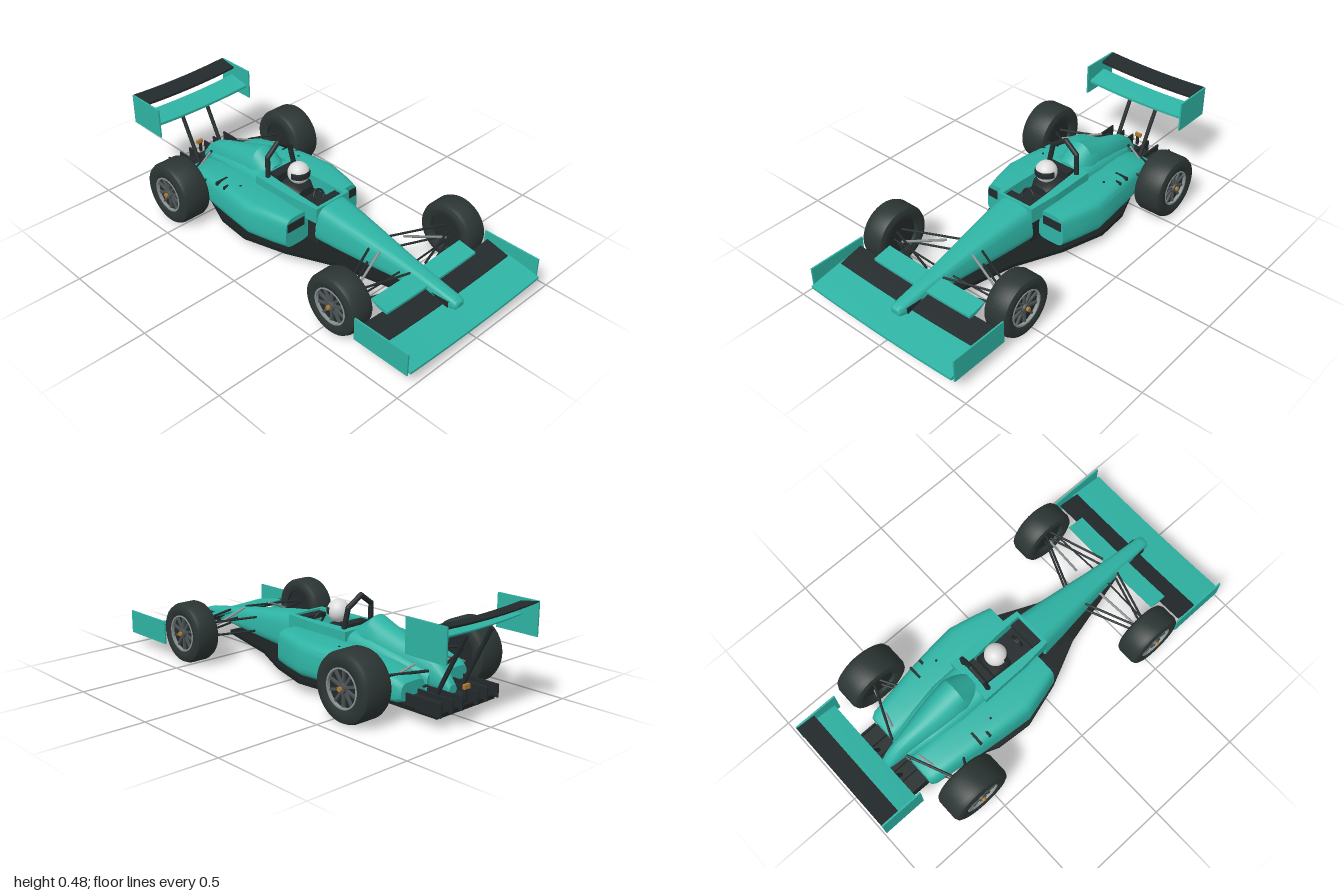
import * as THREE from 'three';
import { toCreasedNormals } from 'three/addons/utils/BufferGeometryUtils.js';

const mat = (name, color) => Object.assign(new THREE.MeshStandardMaterial({ color }), { name });

export function createModel() {
  const car = new THREE.Group();
  car.name = 'openWheelRaceCar';
  const teal = mat('tealPaint', 0x2eb3a4);
  const carbon = mat('carbonBlack', 0x232a2b);
  const rubber = mat('tyreRubber', 0x2b3533);
  const under = mat('floorBlack', 0x1a2021);
  const grey = mat('rimGrey', 0x4c5254);
  const silver = mat('metalSilver', 0x8c9294);
  const white = mat('helmetWhite', 0xdcdcdc);
  const gold = mat('hubGold', 0xb07c34);

  const add = (name, geo, m, parent = car) => {
    const mesh = new THREE.Mesh(geo, m);
    mesh.name = name;
    parent.add(mesh);
    return mesh;
  };
  const box = (name, w, h, d, x, y, z, m, parent) => {
    const b = add(name, new THREE.BoxGeometry(w, h, d), m, parent);
    b.position.set(x, y, z);
    return b;
  };
  const rod = (name, a, b, r, m, sides = 8) => {
    const p = new THREE.Vector3(...a), q = new THREE.Vector3(...b);
    const mesh = add(name, new THREE.CylinderGeometry(r, r, p.distanceTo(q), sides), m);
    mesh.position.copy(p).add(q).multiplyScalar(0.5);
    mesh.quaternion.setFromUnitVectors(new THREE.Vector3(0, 1, 0), q.sub(p).normalize());
    return mesh;
  };

  // Loft of rounded sections [z, xMin, xMax, yMin, yMax] running front to back
  const loft = (sections, power, taper = 0, n = 40) => {
    const pos = [], idx = [];
    const curve = (v) => Math.sign(v) * Math.abs(v) ** (2 / power);
    for (const [z, x0, x1, y0, y1] of sections) {
      for (let j = 0; j < n; j++) {
        const t = (j / n) * Math.PI * 2, v = curve(Math.sin(t));
        const k = 1 - taper * (v + 1) / 2;
        pos.push((x0 + x1) / 2 + (x1 - x0) / 2 * curve(Math.cos(t)) * k, (y0 + y1) / 2 + (y1 - y0) / 2 * v, z);
      }
    }
    const last = sections.length - 1;
    for (let i = 0; i < last; i++) {
      for (let j = 0; j < n; j++) {
        const a = i * n + j, b = i * n + (j + 1) % n;
        idx.push(a, a + n, b, b, a + n, b + n);
      }
    }
    for (const i of [0, last]) {
      const [z, x0, x1, y0, y1] = sections[i], c = pos.length / 3;
      pos.push((x0 + x1) / 2, (y0 + y1) / 2, z);
      for (let j = 0; j < n; j++) {
        const a = i * n + j, b = i * n + (j + 1) % n;
        idx.push(c, ...(i ? [b, a] : [a, b]));
      }
    }
    const g = new THREE.BufferGeometry();
    g.setAttribute('position', new THREE.Float32BufferAttribute(pos, 3));
    g.setIndex(idx);
    return toCreasedNormals(g, 0.6);
  };
  const centred = (rows) => rows.map(([z, w, y0, y1]) => [z, -w, w, y0, y1]);

  // Flat plan (x, z) extruded upward from y
  const plan = (points, hole, y, h) => {
    const outline = (pts) => [...pts.map(([x, z]) => new THREE.Vector2(x, -z)),
      ...pts.slice().reverse().map(([x, z]) => new THREE.Vector2(-x, -z))];
    const s = new THREE.Shape(outline(points));
    if (hole) s.holes.push(new THREE.Path(outline(hole)));
    return new THREE.ExtrudeGeometry(s, { depth: h, bevelEnabled: false }).rotateX(-Math.PI / 2).translate(0, y, 0);
  };

  // Cambered wing blade whose tips rise by bow
  const wing = (name, half, zF, yF, zB, yB, thick, bow, m) => {
    const s = new THREE.Shape(), zm = zF * 0.55 + zB * 0.45, ym = (yF + yB) / 2;
    s.moveTo(-zF, yF);
    s.quadraticCurveTo(-zm, ym - thick * 1.6, -zB, yB - 0.002);
    s.lineTo(-zB, yB + 0.002);
    s.quadraticCurveTo(-zm, ym + thick * 0.4, -zF, yF + 0.012);
    const g = new THREE.ExtrudeGeometry(s, { depth: half * 2, steps: 16, bevelEnabled: false, curveSegments: 8 });
    g.translate(0, 0, -half).rotateY(Math.PI / 2);
    const p = g.attributes.position;
    for (let i = 0; i < p.count; i++) p.setY(i, p.getY(i) + bow * (p.getX(i) / half) ** 2);
    add(name, toCreasedNormals(g, 0.6), m);
  };

  // Floor and diffuser
  add('floor', plan([[0.035, 0.68], [0.13, 0.29], [0.235, 0.06], [0.3, -0.16], [0.285, -0.34], [0.19, -0.58],
    [0.185, -0.87]], null, 0.045, 0.018), under);
  box('diffuserTop', 0.36, 0.03, 0.16, 0, 0.078, -0.76, carbon);
  for (const x of [-0.183, -0.11, -0.05, 0.05, 0.11, 0.183]) box('diffuserFin', 0.008, 0.06, 0.19, x, 0.085, -0.795, carbon);

  // Nose cone
  add('nose', loft(centred([[0.9, 0.022, 0.112, 0.135], [0.893, 0.032, 0.104, 0.143], [0.87, 0.037, 0.1, 0.15],
    [0.7, 0.046, 0.1, 0.178], [0.55, 0.063, 0.092, 0.203], [0.4, 0.083, 0.085, 0.228], [0.25, 0.103, 0.08, 0.251],
    [0.125, 0.117, 0.078, 0.267]]), 3.6, 0.2), teal);

  // Cockpit tub with open top
  add('cockpitTub', plan([[0.105, 0.13], [0.12, -0.03], [0.122, -0.27]], [[0.082, 0.115], [0.078, -0.02], [0.066, -0.23]],
    0.19, 0.08), teal);
  add('lowerTub', plan([[0.09, 0.13], [0.1, -0.27]], null, 0.06, 0.13), carbon);
  box('cockpitLining', 0.17, 0.012, 0.36, 0, 0.196, -0.05, carbon);
  box('dashboard', 0.15, 0.02, 0.05, 0, 0.25, 0.09, carbon);
  box('headrest', 0.13, 0.08, 0.05, 0, 0.245, -0.205, carbon);
  const steering = add('steeringWheel', new THREE.TorusGeometry(0.03, 0.006, 8, 20), carbon);
  steering.position.set(0, 0.25, 0.035);
  steering.rotation.x = -0.4;

  // Driver
  add('driverShoulders', loft(centred([[-0.05, 0.05, 0.19, 0.245], [-0.09, 0.07, 0.19, 0.265], [-0.16, 0.07, 0.19, 0.265]]), 3), carbon);
  add('helmet', new THREE.SphereGeometry(0.054, 32, 20), white).position.set(0, 0.315, -0.1);
  add('visor', new THREE.SphereGeometry(0.0555, 28, 6, 0.1, Math.PI - 0.2, 1.2, 0.6), carbon).position.set(0, 0.315, -0.1);

  // Engine cover and its shoulders
  add('engineShoulders', loft(centred([[-0.25, 0.122, 0.06, 0.27], [-0.4, 0.12, 0.06, 0.26], [-0.55, 0.1, 0.06, 0.22],
    [-0.7, 0.06, 0.06, 0.17]]), 4, 0.1), teal);
  add('engineCover', loft(centred([[-0.255, 0.075, 0.1, 0.28], [-0.3, 0.09, 0.1, 0.308], [-0.355, 0.097, 0.1, 0.347],
    [-0.42, 0.094, 0.1, 0.32], [-0.52, 0.08, 0.1, 0.285], [-0.62, 0.06, 0.09, 0.255], [-0.7, 0.045, 0.085, 0.225],
    [-0.76, 0.036, 0.085, 0.18], [-0.795, 0.026, 0.09, 0.13]]), 2.3, 0.15), teal);

  // Roll hoop
  const hoop = [[-0.086, 0.25, -0.222], [-0.072, 0.365, -0.238], [0, 0.415, -0.245], [0.072, 0.365, -0.238], [0.086, 0.25, -0.222]];
  hoop.slice(1).forEach((p, i) => {
    rod('rollHoop', hoop[i], p, 0.0125, carbon, 12);
    add('rollHoopJoint', new THREE.SphereGeometry(0.0125, 12, 8), carbon).position.set(...p);
  });

  // Front wing
  wing('frontWingMain', 0.425, 1.0, 0.068, 0.81, 0.11, 0.02, 0.012, teal);
  wing('frontWingFlap', 0.415, 0.835, 0.1, 0.715, 0.138, 0.016, 0.01, carbon);
  wing('frontWingUpperFlap', 0.29, 0.745, 0.142, 0.65, 0.168, 0.014, 0.006, teal);
  // Rear wing
  wing('rearWingMain', 0.285, -0.805, 0.37, -0.92, 0.402, 0.018, 0.01, teal);
  wing('rearWingFlap', 0.285, -0.905, 0.442, -0.998, 0.468, 0.016, 0.01, carbon);

  // Wheel: turned tyre and rim, spokes and hub nut, outer face toward +x
  const turned = (pts) => toCreasedNormals(
    new THREE.LatheGeometry(pts.map(([r, x]) => new THREE.Vector2(r, x)), 48).rotateZ(-Math.PI / 2), 0.5);
  const wheel = (name, x, y, z, R, half, side) => {
    const g = new THREE.Group();
    g.name = name;
    const r = 0.088, e = half;
    add('tyre', turned([[r, -e + 0.008], [r + 0.02, -e], [R - 0.025, -e], [R - 0.008, -e + 0.008], [R, -e + 0.026],
      [R, e - 0.026], [R - 0.008, e - 0.008], [R - 0.025, e], [r + 0.02, e], [r, e - 0.008], [r, -e + 0.008]]), rubber, g);
    add('rimLip', turned([[r - 0.006, e - 0.02], [r + 0.001, e - 0.02], [r + 0.001, e - 0.005], [r - 0.006, e - 0.005],
      [r - 0.006, e - 0.02]]), silver, g);
    const disc = add('rimDisc', new THREE.CylinderGeometry(r, r, 2 * e - 0.05, 40), carbon, g);
    disc.rotation.z = Math.PI / 2;
    for (let i = 0; i < 10; i++) {
      const a = (i / 10) * Math.PI * 2;
      const s = box('spoke', 0.012, r - 0.018, 0.011, e - 0.02, Math.cos(a) * r * 0.53, Math.sin(a) * r * 0.53, grey, g);
      s.rotation.x = a;
    }
    const hub = add('hub', new THREE.CylinderGeometry(0.02, 0.024, 0.022, 20), grey, g);
    hub.position.x = e - 0.014;
    hub.rotation.z = -Math.PI / 2;
    const nut = add('hubNut', new THREE.CylinderGeometry(0.011, 0.011, 0.014, 6), gold, g);
    nut.position.x = e + 0.002;
    nut.rotation.z = -Math.PI / 2;
    g.position.set(side * x, y, z);
    if (side < 0) g.rotation.y = Math.PI;
    car.add(g);
  };

  // Everything paired left and right
  for (const s of [1, -1]) {
    wheel('frontWheel', 0.372, 0.15, 0.545, 0.147, 0.064, s);
    wheel('rearWheel', 0.36, 0.157, -0.57, 0.156, 0.076, s);

    add('sidepod', loft([[0.06, 0.08, 0.238, 0.07, 0.23], [-0.02, 0.08, 0.262, 0.066, 0.234], [-0.15, 0.06, 0.296, 0.064, 0.232],
      [-0.3, 0.05, 0.282, 0.064, 0.226], [-0.42, 0.05, 0.268, 0.064, 0.218], [-0.56, 0.05, 0.246, 0.064, 0.2],
      [-0.67, 0.05, 0.23, 0.066, 0.175], [-0.695, 0.06, 0.215, 0.075, 0.155]].map(([z, a, b, c, d]) =>
      s > 0 ? [z, a, b, c, d] : [z, -b, -a, c, d]), 4, 0.14), teal);
    box('sidepodIntake', 0.105, 0.045, 0.008, s * 0.17, 0.182, 0.06, carbon);
    for (const z of [-0.36, -0.415]) box('louvre', 0.07, 0.016, 0.012, s * 0.215, 0.211, z, carbon);
    add('fillerCap', new THREE.CylinderGeometry(0.006, 0.006, 0.012, 12), carbon).position.set(s * 0.19, 0.222, -0.305);

    box('frontWingEndplate', 0.008, 0.115, 0.295, s * 0.428, 0.122, 0.838, teal);
    box('frontWingPylon', 0.008, 0.045, 0.1, s * 0.034, 0.112, 0.81, carbon);
    box('rearWingEndplate', 0.008, 0.154, 0.212, s * 0.288, 0.402, -0.892, teal);
    rod('rearWingStrut', [s * 0.08, 0.09, -0.77], [s * 0.08, 0.39, -0.92], 0.01, carbon, 10);

    // Wishbones, track rods and pushrods
    for (const [y, w] of [[0.115, 0.12], [0.18, 0.19]]) {
      rod('frontWishbone', [s * 0.06, w, 0.42], [s * 0.33, y, 0.535], 0.0055, carbon);
      rod('frontWishbone', [s * 0.05, w - 0.01, 0.655], [s * 0.33, y, 0.565], 0.0055, carbon);
      rod('rearWishbone', [s * 0.05, y, -0.7], [s * 0.31, y, -0.59], 0.0065, carbon);
      rod('rearWishbone', [s * 0.12, y, -0.45], [s * 0.31, y, -0.555], 0.0065, carbon);
    }
    rod('trackRod', [s * 0.05, 0.15, 0.595], [s * 0.33, 0.15, 0.585], 0.0045, carbon);
    rod('frontPushrod', [s * 0.08, 0.225, 0.5], [s * 0.32, 0.12, 0.55], 0.006, silver);
    rod('rearPushrod', [s * 0.09, 0.21, -0.66], [s * 0.31, 0.12, -0.6], 0.0055, silver);
  }

  // Rear light on a short stalk
  box('rearLightStalk', 0.012, 0.05, 0.012, 0, 0.11, -0.86, carbon);
  box('rearLight', 0.035, 0.02, 0.014, 0, 0.142, -0.865, gold);
  return car;
}
